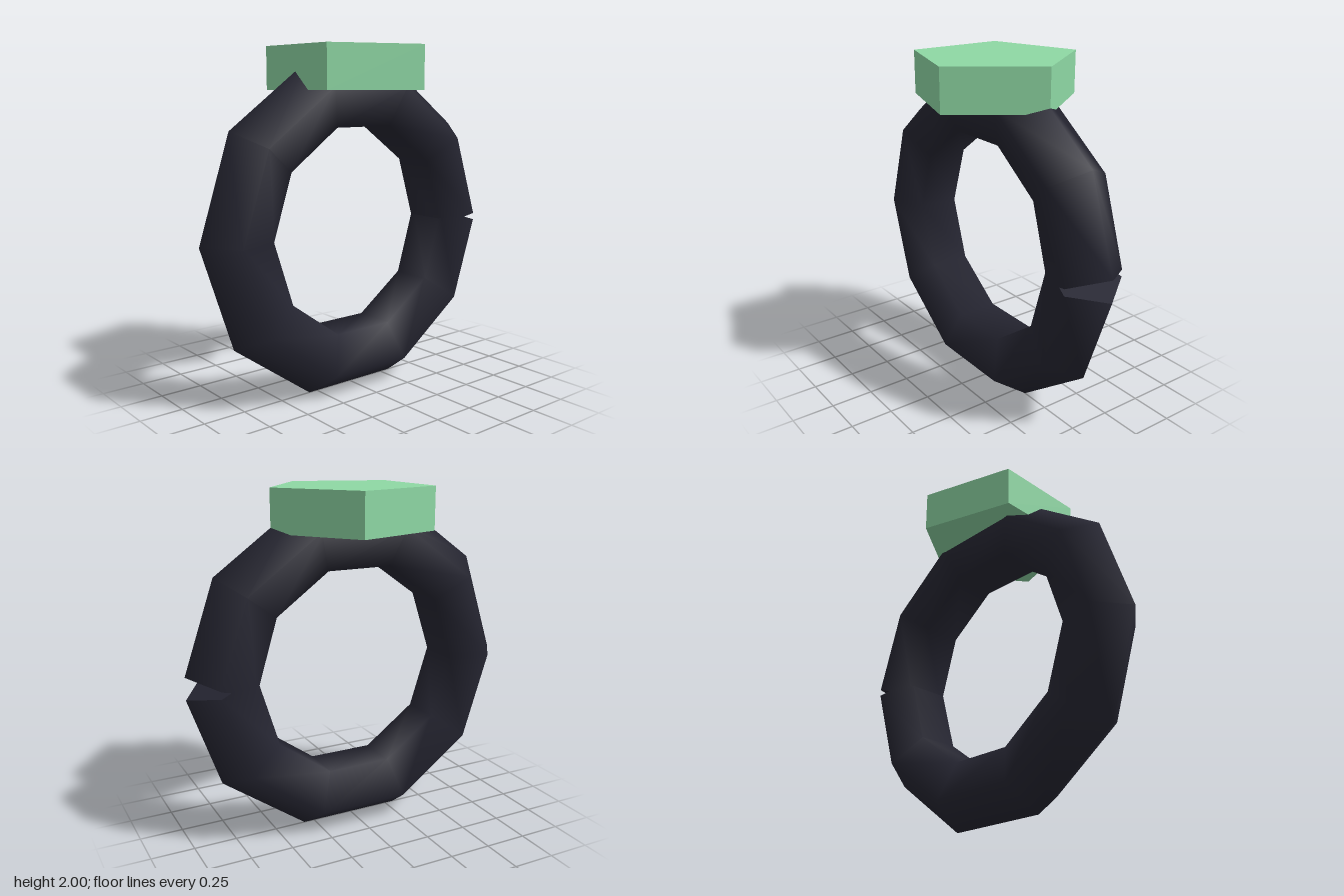
import * as THREE from 'three';

const RADIUS = 0.794, TUBE = 0.21, STEPS = 10, SIDES = 5;
const CENTRE_X = 0.005, CENTRE_Y = 0.955;
const TILT = Math.PI / STEPS; // ends are square to their straight segments

// Ten-segment band with a pentagonal section, split open on its left side
function bandGeometry() {
  const geo = new THREE.TorusGeometry(RADIUS, TUBE, SIDES, STEPS);
  const pos = geo.attributes.position;
  for (let j = 0; j <= SIDES; j++) {
    const v = (j / SIDES) * Math.PI * 2;
    const out = TUBE * Math.cos(v), z = TUBE * Math.sin(v);
    for (const [i, sign] of [[0, 1], [STEPS, -1]]) {
      pos.setXYZ(j * (STEPS + 1) + i,
        RADIUS + out * Math.cos(TILT), sign * out * Math.sin(TILT), z);
    }
  }
  return geo;
}

export function createModel() {
  const bandMat = new THREE.MeshStandardMaterial({ color: 0x252531 });
  bandMat.name = 'darkBand';
  const gemMat = new THREE.MeshStandardMaterial({ color: 0x8ed8a4 });
  gemMat.name = 'greenStone';

  const model = new THREE.Group();
  model.name = 'ring';

  const band = new THREE.Group();
  band.name = 'band';
  band.position.set(CENTRE_X, CENTRE_Y, 0);
  const hoop = new THREE.Mesh(bandGeometry(), bandMat);
  hoop.name = 'hoop';
  band.add(hoop);

  // Flat caps closing both ends of the split
  for (const sign of [1, -1]) {
    const geo = new THREE.CircleGeometry(TUBE, SIDES)
      .rotateX(sign * Math.PI / 2)
      .rotateZ(sign * TILT)
      .translate(RADIUS, 0, 0);
    const cap = new THREE.Mesh(geo, bandMat);
    cap.name = sign > 0 ? 'upperEndCap' : 'lowerEndCap';
    band.add(cap);
  }
  model.add(band);

  // Five-sided stone with one corner pointing left
  const gemGeo = new THREE.CylinderGeometry(0.478, 0.478, 0.245, 5)
    .rotateY(Math.PI / 2).toNonIndexed();
  gemGeo.computeVertexNormals();
  const gem = new THREE.Mesh(gemGeo, gemMat);
  gem.name = 'stone';
  gem.position.set(CENTRE_X, 1.8775, 0);
  model.add(gem);

  return model;
}
